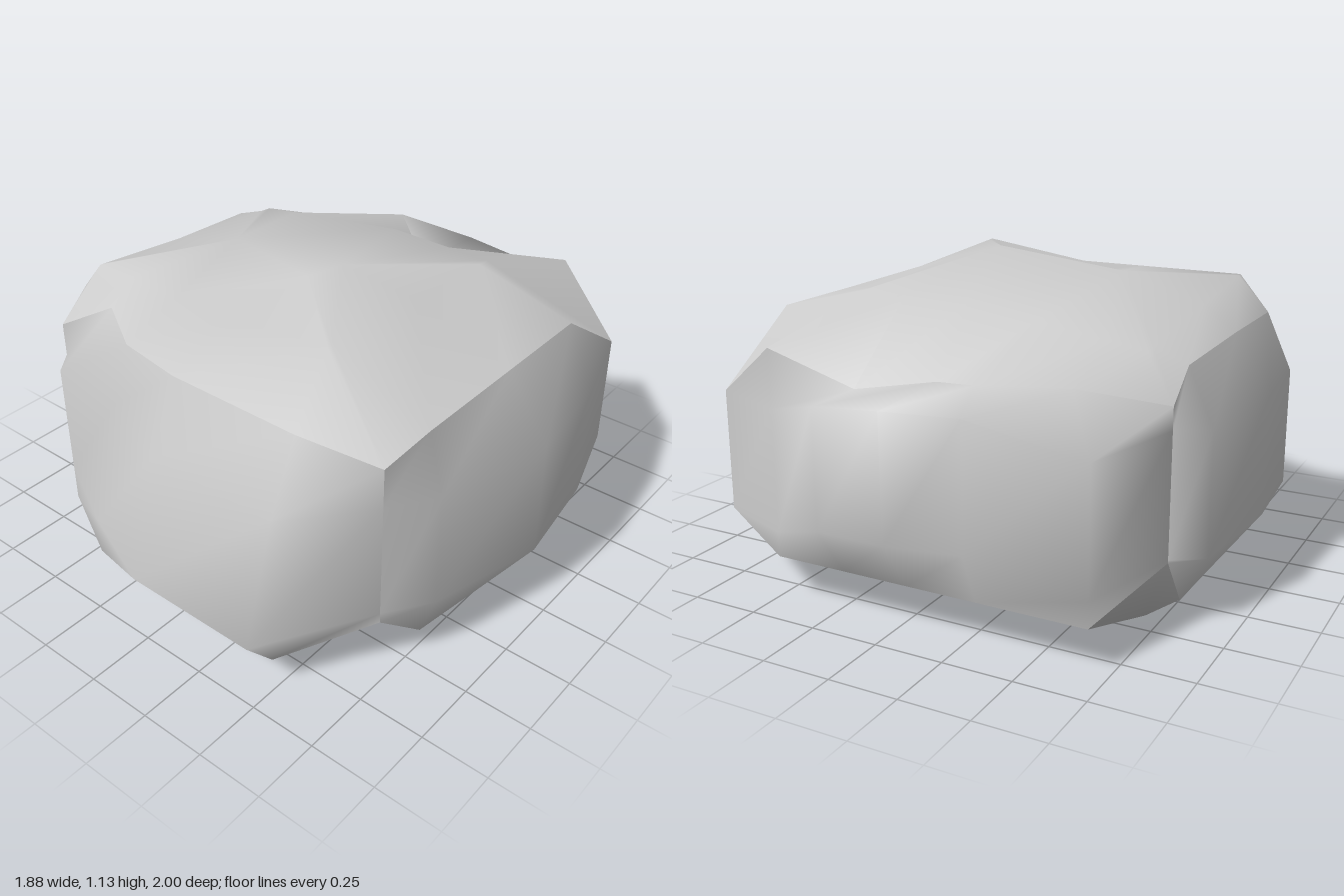
import * as THREE from 'three';
import { mergeVertices } from 'three/addons/utils/BufferGeometryUtils.js';

// Columns of each wall, clockwise from above. Each wall ends on the next wall's first column.
// belt x, z | lower rim x, y, z | upper rim x, y, z
const walls = {
  front: [
    [0.71, 0.6, 0.71, 0.21, 0.6, 0.71, 0.84, 0.6],
    [0.48, 1, 0.48, 0.11, 0.88, 0.48, 0.95, 0.75],
    [-0.04, 1, -0.04, 0.11, 0.88, -0.04, 0.95, 0.75],
    [-0.37, 0.87, -0.37, 0.11, 0.87, -0.3, 0.95, 0.71],
    [-0.69, 0.71, -0.69, 0.11, 0.71, -0.53, 0.95, 0.57],
  ],
  left: [
    [-0.76, 0.62, -0.76, 0.2, 0.62, -0.76, 0.82, 0.62],
    [-0.91, 0.44, -0.81, 0.085, 0.45, -0.81, 0.9, 0.45],
    [-0.94, 0.07, -0.81, 0.085, 0.07, -0.81, 0.9, 0.07],
    [-0.9, -0.4, -0.81, 0.085, -0.4, -0.81, 0.89, -0.4],
  ],
  back: [
    [-0.79, -0.47, -0.79, 0.24, -0.47, -0.79, 0.77, -0.47],
    [-0.69, -0.87, -0.69, 0.16, -0.87, -0.55, 0.85, -0.69],
    [-0.3, -0.95, -0.3, 0.16, -0.87, -0.3, 0.87, -0.86],
    [-0.04, -1, -0.04, 0.16, -0.87, -0.04, 0.8, -0.66],
    [0.21, -1, 0.21, 0.16, -0.87, 0.21, 0.77, -0.77],
    [0.48, -0.87, 0.48, 0.16, -0.87, 0.48, 0.9, -0.87],
  ],
  right: [
    [0.77, -0.76, 0.77, 0.25, -0.76, 0.77, 0.69, -0.76],
    [0.88, -0.4, 0.77, 0.1, -0.4, 0.77, 0.93, -0.4],
    [0.935, 0, 0.77, 0.1, 0, 0.77, 0.93, 0],
    [0.82, 0.44, 0.77, 0.1, 0.45, 0.77, 0.93, 0.45],
  ],
};
// Two humps on the crown with a dip between them
const hump = [-0.38, 1.08, 0.07];
const dip = [-0.04, 1.035, 0.07];
const peak = [0.12, 1.135, 0.07];
const base = [-0.1, 0, 0];
const { clamp, lerp } = THREE.MathUtils;

// Height of the crown's edge, which slopes down to the back left
function crownHeight(x, z) {
  const back = lerp(0.93, 1.03, clamp((x + 0.69) / 0.65, 0, 1));
  const front = lerp(1.03, 1.09, clamp((x + 0.04) / 0.42, 0, 1));
  return lerp(back, front, (z + 0.45) / 0.92);
}

// The point of the crown that an edge point slopes up to
function summit([x, , z]) {
  if (x < -0.2) return hump;
  return z > 0.4 ? dip : peak;
}

// One column of points from the flat base up to the crown
function columnPoints([x, z, lx, ly, lz, hx, hy, hz]) {
  const lean = z > 0.85 ? 0.13 : 0; // the front wall leans back
  const lift = z < -0.9 ? 0.1 : 0; // the back bulge sits higher
  const topX = clamp(hx, -0.69, 0.38);
  const topZ = clamp(hz, -0.45, 0.47);
  return [
    [clamp(x, -0.69, 0.48), 0, clamp(z, -0.4, 0.45)],
    [lx, ly, lz],
    [x, Math.max(ly, 0.25 + lift), z],
    [x, Math.min(hy, 0.69 + lift), z - lean],
    [hx, hy, hz],
    [topX, crownHeight(topX, topZ), topZ],
  ];
}

// Quads between two neighbouring columns, from level j to j + 1
function band(a, b, j) {
  return [b[j], a[j], a[j + 1], b[j], a[j + 1], b[j + 1]];
}

// Each side is smooth inside and sharp along its border
function smoothSide(name, points, material) {
  const geometry = new THREE.BufferGeometry();
  geometry.setAttribute('position', new THREE.Float32BufferAttribute(points.flat(), 3));
  const welded = mergeVertices(geometry);
  welded.computeVertexNormals();
  const mesh = new THREE.Mesh(welded, material);
  mesh.name = name;
  return mesh;
}

export function createModel() {
  const model = new THREE.Group();
  model.name = 'rock';
  const material = new THREE.MeshStandardMaterial({ color: 0xcccccc });
  const ring = Object.values(walls).flat().map(columnPoints);
  const crown = [hump, dip, peak];
  const underside = [];
  let start = 0;

  for (const [name, columns] of Object.entries(walls)) {
    const wall = [];
    for (let i = start; i < start + columns.length; i++) {
      const a = ring[i];
      const b = ring[(i + 1) % ring.length];
      const topA = summit(a[5]);
      const topB = summit(b[5]);
      wall.push(...band(a, b, 1), ...band(a, b, 2), ...band(a, b, 3));
      crown.push(...band(a, b, 4), topA, b[5], a[5]);
      if (topA !== topB) crown.push(topA, topB, b[5]);
      underside.push(...band(a, b, 0), base, a[0], b[0]);
    }
    start += columns.length;
    model.add(smoothSide(`${name}Wall`, wall, material));
  }
  model.add(smoothSide('crown', crown, material));
  model.add(smoothSide('underside', underside, material));
  return model;
}
